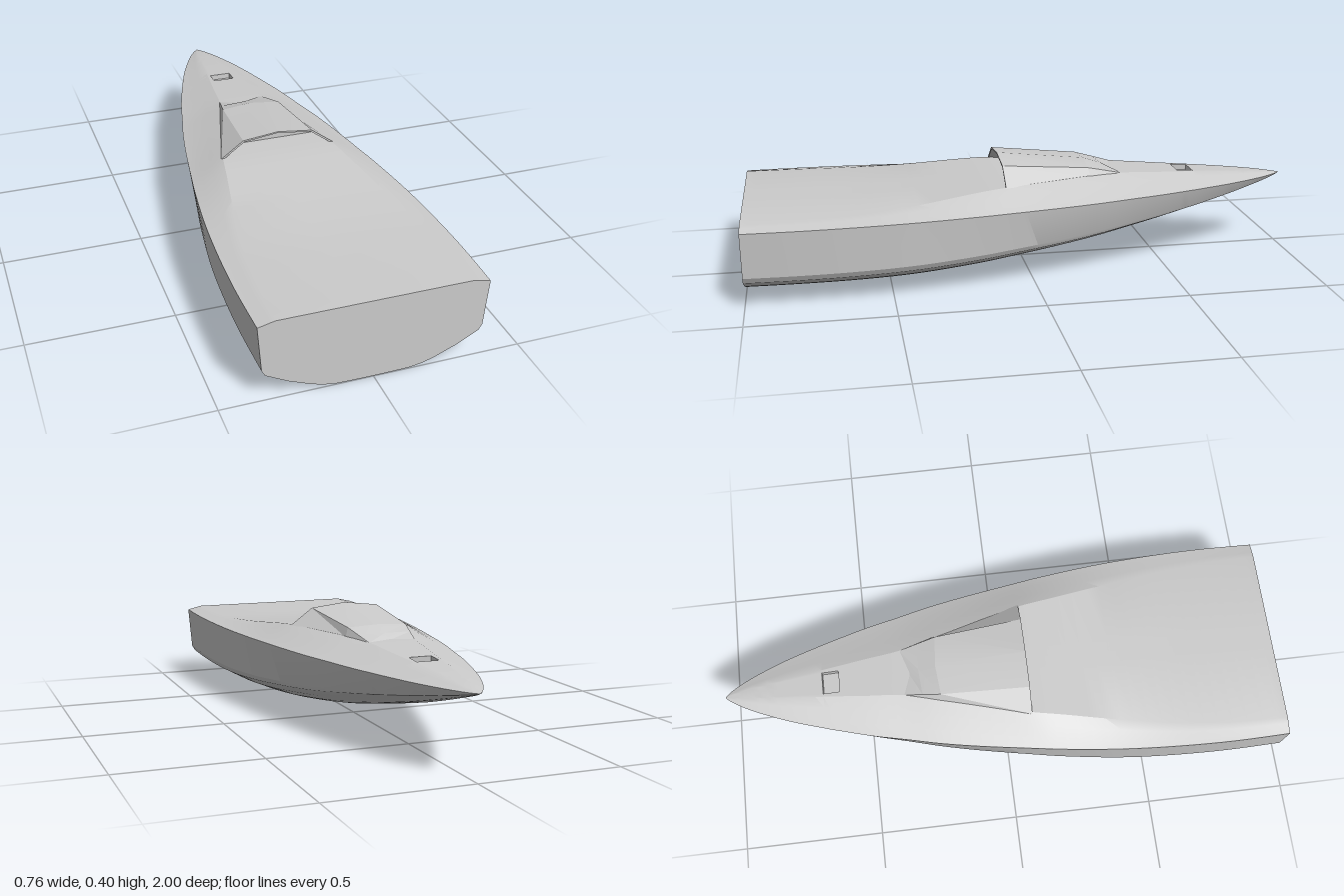
import * as THREE from 'three';
import { toCreasedNormals } from 'three/addons/utils/BufferGeometryUtils.js';

const SHEER = 0.275;

// Stations from stern to bow: z, half beam, keel height, deck height, half width of the raised deck
const STATIONS = [
  [1, 0.377, 0.003, 0.288, 0.32],
  [0.8, 0.381, 0.002, 0.288, 0.315],
  [0.6, 0.376, 0.003, 0.291, 0.295],
  [0.4, 0.363, 0.01, 0.304, 0.262],
  [0.2, 0.34, 0.026, 0.324, 0.225],
  [0.08, 0.322, 0.04, 0.332, 0.203],
  [-0.1, 0.293, 0.064, 0.333, 0.158],
  [-0.24, 0.266, 0.087, 0.333, 0.118],
  [-0.36, 0.237, 0.111, 0.329, 0.085],
  [-0.48, 0.209, 0.137, 0.321, 0.071],
  [-0.585, 0.179, 0.161, 0.314, 0.058],
  [-0.645, 0.161, 0.175, 0.31, 0.051],
  [-0.78, 0.116, 0.21, 0.3, 0.036],
  [-0.9, 0.065, 0.243, 0.289, 0.02],
  [-0.97, 0.026, 0.263, 0.28, 0.008],
  [-1, 0.002, 0.273, 0.276, 0.0006],
];
const HATCH = { back: -0.585, front: -0.645, half: 0.04, depth: 0.02 };
const STEPS = (STATIONS.length - 1) * 4;

function material(extra = {}) {
  return new THREE.MeshStandardMaterial({ color: 0xcccccc, ...extra });
}

// Skin over rows of points; skip(i, j) leaves a cell open
function loft(rows, crease = 0.45, skip = () => false) {
  const n = rows[0].length;
  const index = [];
  for (let i = 0; i < rows.length - 1; i++) {
    for (let j = 0; j < n - 1; j++) {
      if (skip(i, j)) continue;
      const a = i * n + j, b = a + 1, c = a + n, d = c + 1;
      index.push(a, b, d, a, d, c);
    }
  }
  const geometry = new THREE.BufferGeometry();
  geometry.setAttribute('position', new THREE.Float32BufferAttribute(rows.flat(2), 3));
  geometry.setIndex(index);
  return toCreasedNormals(geometry, crease);
}

function addMesh(group, name, geometry, mat = material()) {
  const mesh = new THREE.Mesh(geometry, mat);
  mesh.name = name;
  group.add(mesh);
  return mesh;
}

// Mirror a centre-to-edge half profile [x, y, z] into a full one, from -x to +x
function mirror(half) {
  const other = half.slice(1).reverse().map(([x, y, z]) => [-x, y, z]);
  return [...other, ...half];
}

// Smooth values for every row of the hull
const curves = [1, 2, 3, 4].map(
  (k) => new THREE.SplineCurve(STATIONS.map((s) => new THREE.Vector2(s[0], s[k])))
);
function station(i) {
  const p = curves.map((c) => c.getPoint(i / STEPS));
  return { z: p[0].x, beam: p[0].y, keel: p[1].y, deck: p[2].y, flat: p[3].y };
}

// Half section of the hull: round bottom, chine strip, flared topside
function hullHalf({ z, beam, keel }) {
  const f = Math.pow(THREE.MathUtils.clamp((0.5 - z) / 1.5, 0, 1), 1.5);
  const profile = [
    [0, 0], [0.17, 0.002], [0.32, 0.007], [0.43, 0.03], [0.54, 0.075],
    [0.74, 0.19], [0.935, 0.335], [0.965, 0.41], [1, 1],
  ];
  return profile.map(([px, py], k) => {
    const narrow = k < 8 ? 1 - 0.15 * f : 1;
    const vee = py + f * 0.3 * px * (1 - px);
    return [px * beam * narrow, keel + (SHEER - keel) * Math.min(vee, 1), z];
  });
}

// Half section of the deck: raised middle falling to the sheer line
function deckHalf({ z, beam, deck, flat }) {
  const at = (t, h) => [THREE.MathUtils.lerp(flat, beam, t), SHEER + (deck - SHEER) * h, z];
  const inner = Math.min(HATCH.half, flat * 0.8);
  return [[0, deck, z], [inner, deck, z], at(0, 1), at(0.35, 0.66), at(0.7, 0.27), at(1, 0)];
}

function buildHull(group) {
  const sections = Array.from({ length: STEPS + 1 }, (_, i) => station(i));
  addMesh(group, 'hull', loft(sections.map((s) => mirror(hullHalf(s)).reverse()), 0.35));

  // Deck, left open over the hatch
  const decks = sections.map((s) => mirror(deckHalf(s)));
  const overHatch = (i, j) => {
    const z = (sections[i].z + sections[i + 1].z) / 2;
    return z < HATCH.back && z > HATCH.front && (j === 4 || j === 5);
  };
  addMesh(group, 'deck', loft(decks, 0.3, overHatch));

  // Flat transom closing the stern
  const outline = [...mirror(hullHalf(sections[0])), ...decks[0].slice(1, -1).reverse()];
  const shape = new THREE.Shape(outline.map(([x, y]) => new THREE.Vector2(x, y)));
  addMesh(group, 'transom', new THREE.ShapeGeometry(shape)).position.z = sections[0].z;
}

// Recessed hatch in the foredeck, seen from inside the box
function buildHatch(group) {
  const length = HATCH.back - HATCH.front;
  const geometry = new THREE.BoxGeometry(HATCH.half * 2, HATCH.depth, length);
  geometry.translate(0, -HATCH.depth / 2, 0);
  const hatch = addMesh(group, 'hatchRecess', geometry, material({ side: THREE.BackSide }));
  hatch.position.set(0, 0.312, (HATCH.back + HATCH.front) / 2);
  hatch.rotation.x = -Math.atan2(0.004, length);
}

// Low cabin with an open, recessed back
function buildCabin(group) {
  const cabin = new THREE.Group();
  cabin.name = 'cabin';
  group.add(cabin);

  const rear = mirror([[0, 0.405, 0.09], [0.13, 0.39, 0.09], [0.212, 0.33, 0.09]]);
  const roofFront = mirror([[0, 0.369, -0.235], [0.11, 0.362, -0.225], [0.122, 0.33, -0.235]]);
  const screenMid = mirror([[0, 0.348, -0.297], [0.098, 0.346, -0.29], [0.103, 0.328, -0.3]]);
  const screenBase = mirror([[0, 0.328, -0.335], [0.085, 0.328, -0.36], [0.087, 0.325, -0.362]]);
  addMesh(cabin, 'cabinRoof', loft([rear, roofFront], 0.2));
  addMesh(cabin, 'windscreen', loft([roofFront, screenMid, screenBase], 0.2));

  const rim = mirror([[0, 0.4, 0.09], [0.126, 0.384, 0.09], [0.2, 0.33, 0.09]]);
  const inside = mirror([[0, 0.388, 0], [0.119, 0.373, 0], [0.178, 0.33, 0]]);
  const foot = inside.map(([x, , z]) => [x, 0.33, z]);
  addMesh(cabin, 'roofEdge', loft([rim, rear], 0.2));
  addMesh(cabin, 'roofLining', loft([inside, rim], 0.2));
  addMesh(cabin, 'bulkhead', loft([foot, inside], 0.2));
}

export function createModel() {
  const boat = new THREE.Group();
  boat.name = 'motorboat';
  buildHull(boat);
  buildHatch(boat);
  buildCabin(boat);
  return boat;
}
